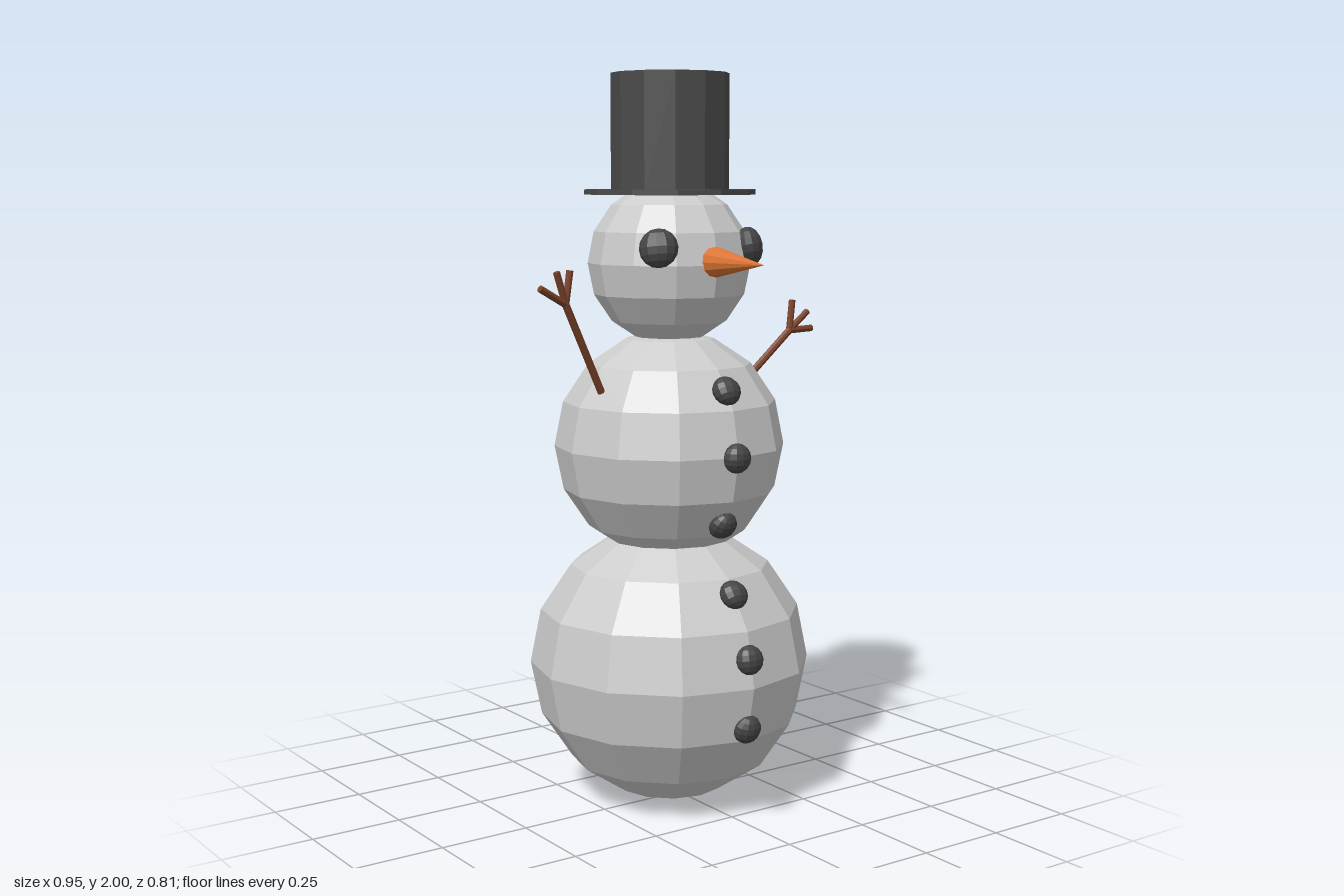
import * as THREE from 'three';

const X = -0.017, Z = -0.02; // axis of the body

const flat = (color) => new THREE.MeshStandardMaterial({ color, flatShading: true });

export function createModel() {
  const model = new THREE.Group();
  model.name = 'snowman';
  const snow = flat(0xcccccc);
  const coal = flat(0x444444);
  const felt = flat(0x4a4a4a);
  const carrot = flat(0xdc7433);
  const wood = flat(0x7a4128);

  const add = (name, geometry, material, x, y, z, parent = model) => {
    const mesh = new THREE.Mesh(geometry, material);
    mesh.name = name;
    mesh.position.set(x, y, z);
    parent.add(mesh);
    return mesh;
  };

  // Three stacked snowballs
  const balls = {
    base: { y: 0.392, r: 0.388 },
    torso: { y: 0.998, r: 0.316 },
    head: { y: 1.495, r: 0.222 },
  };
  for (const [name, b] of Object.entries(balls)) {
    add(name, new THREE.SphereGeometry(b.r, 12, 8), snow, X, b.y, Z);
  }

  // Lump of coal, flattened along the outward direction of its ball
  const lump = (name, ball, x, y, z, r, depth) => {
    const mesh = add(name, new THREE.SphereGeometry(r, 12, 8), coal, x, y, z);
    const out = new THREE.Vector3(x - X, y - ball.y, z - Z).normalize();
    mesh.quaternion.setFromUnitVectors(new THREE.Vector3(0, 0, 1), out);
    mesh.scale.z = depth / r;
  };

  // Eyes
  for (const s of [-1, 1]) {
    lump(s > 0 ? 'leftEye' : 'rightEye', balls.head, X + s * 0.148, 1.542, 0.143, 0.052, 0.036);
  }

  // Buttons
  const buttons = [
    [balls.torso, 1.17, 0.245], [balls.torso, 0.997, 0.292], [balls.torso, 0.81, 0.231],
    [balls.base, 0.63, 0.28], [balls.base, 0.468, 0.35], [balls.base, 0.278, 0.342],
  ];
  buttons.forEach(([ball, y, z], i) => lump('button' + (i + 1), ball, -0.02, y, z, 0.04, 0.032));

  // Nose
  const nose = add('nose', new THREE.ConeGeometry(0.043, 0.218, 12), carrot, X, 1.504, 0.289);
  nose.rotation.x = Math.PI / 2;

  // Top hat
  const hat = new THREE.Group();
  hat.name = 'hat';
  hat.position.set(-0.013, 0, -0.022);
  model.add(hat);
  add('brim', new THREE.CylinderGeometry(0.232, 0.232, 0.014, 12), felt, 0, 1.685, 0, hat);
  add('crown', new THREE.CylinderGeometry(0.16, 0.16, 0.315, 12), felt, 0, 1.8425, 0, hat);

  // Twig arms, each a stick with three fingers
  const stick = (name, from, to, r, parent) => {
    const a = new THREE.Vector3(...from), b = new THREE.Vector3(...to);
    const dir = b.clone().sub(a);
    const mid = a.clone().add(b).multiplyScalar(0.5);
    const mesh = add(name, new THREE.CylinderGeometry(r, r, dir.length(), 8), wood, mid.x, mid.y, mid.z, parent);
    mesh.quaternion.setFromUnitVectors(new THREE.Vector3(0, 1, 0), dir.normalize());
  };
  const arm = (name, shoulder, hand, tips) => {
    const group = new THREE.Group();
    group.name = name;
    model.add(group);
    stick('stick', shoulder, hand, 0.0105, group);
    tips.forEach((tip, i) => stick('finger' + (i + 1), hand, tip, 0.0095, group));
  };
  arm('leftArm', [0.243, 1.16, -0.016], [0.395, 1.292, -0.012],
    [[0.407, 1.378, -0.015], [0.463, 1.343, -0.016], [0.474, 1.295, -0.01]]);
  arm('rightArm', [-0.268, 1.162, 0.025], [-0.392, 1.4, 0.051],
    [[-0.474, 1.444, 0.06], [-0.423, 1.484, 0.058], [-0.378, 1.487, 0.05]]);

  return model;
}
